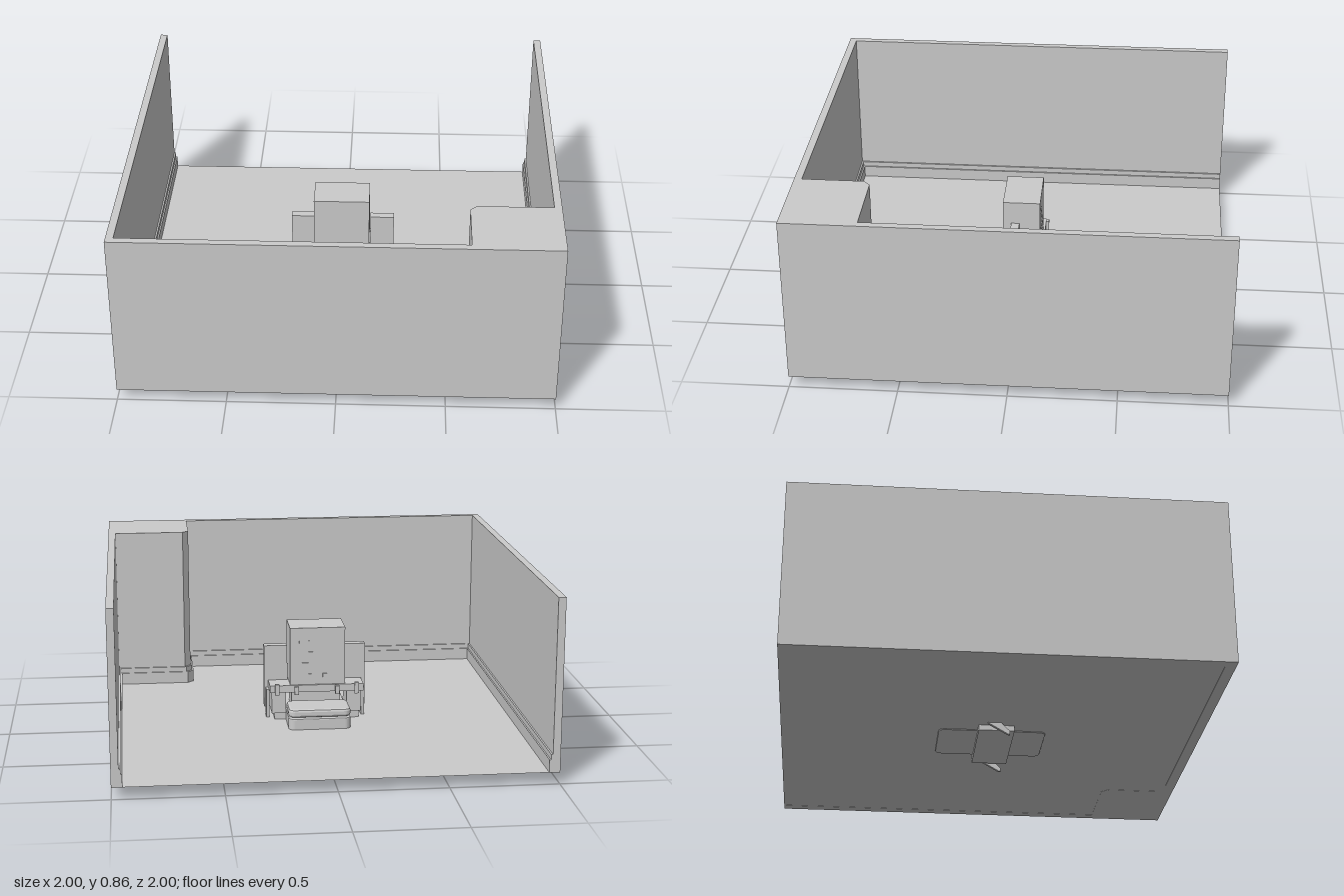
import * as THREE from 'three';

const FLOOR = 0.055;
const WALL_TOP = 0.86;

export function createModel() {
  const root = new THREE.Group();
  const mat = new THREE.MeshStandardMaterial({ color: 0xcccccc, flatShading: true });
  const thin = new THREE.MeshStandardMaterial({ color: 0xcccccc, side: THREE.DoubleSide });

  const add = (name, geo, parent = root, m = mat) => {
    const mesh = new THREE.Mesh(geo, m);
    mesh.name = name;
    parent.add(mesh);
    return mesh;
  };
  // Box given by its limits on each axis
  const box = (name, x0, x1, y0, y1, z0, z1, parent = root) => {
    const mesh = add(name, new THREE.BoxGeometry(x1 - x0, y1 - y0, z1 - z0), parent);
    mesh.position.set((x0 + x1) / 2, (y0 + y1) / 2, (z0 + z1) / 2);
    return mesh;
  };
  // Upright prism over an (x, z) outline
  const prism = (shape, y0, y1, bevel = 0) => {
    const geo = new THREE.ExtrudeGeometry(shape, {
      depth: y1 - y0 - bevel * 2, bevelEnabled: bevel > 0, bevelSize: bevel,
      bevelThickness: bevel, bevelOffset: -bevel, bevelSegments: 2, curveSegments: 5,
    });
    geo.rotateX(Math.PI / 2);
    geo.translate(0, y1 - bevel, 0);
    return geo;
  };
  const roundRect = (x0, x1, z0, z1, r) => {
    const s = new THREE.Shape();
    s.absarc(x1 - r, z1 - r, r, 0, Math.PI / 2);
    s.absarc(x0 + r, z1 - r, r, Math.PI / 2, Math.PI);
    s.absarc(x0 + r, z0 + r, r, Math.PI, Math.PI * 1.5);
    s.absarc(x1 - r, z0 + r, r, Math.PI * 1.5, Math.PI * 2);
    return s;
  };

  // Room: floor, three walls with a chamfered corner column, stepped baseboard
  const floor = add('floor', new THREE.PlaneGeometry(2, 2).rotateX(-Math.PI / 2), root, thin);
  floor.position.y = FLOOR + 0.001;
  const wallOutline = (t) => new THREE.Shape([
    [-1, -1], [-1 + t, -1], [-1 + t, 1 - t], [0.625 - t, 1 - t], [0.625 - t, 0.715 - t],
    [0.655 - t, 0.685 - t], [1 - t, 0.685 - t], [1 - t, -1], [1, -1], [1, 1], [-1, 1],
  ].map(([x, z]) => new THREE.Vector2(x, z)));
  add('walls', prism(wallOutline(0.035), FLOOR, WALL_TOP));
  add('baseboard', prism(wallOutline(0.05), FLOOR, FLOOR + 0.06));
  add('baseboardCap', prism(wallOutline(0.043), FLOOR + 0.06, FLOOR + 0.085));

  // Machine in the middle of the floor
  const machine = new THREE.Group();
  machine.name = 'machine';
  root.add(machine);

  // Rounded foot pad with a raised cushion at the back
  add('footPad', prism(roundRect(-0.15, 0.15, -0.255, 0.255, 0.03), 0.05, 0.11, 0.005), machine);
  add('backCushion', prism(roundRect(-0.15, 0.15, -0.255, -0.08, 0.03), 0.115, 0.155, 0.012), machine);

  // Body: sunken tray, desk top, inner block and side cabinets
  box('sunkenTray', -0.21, 0.205, 0.03, 0.09, -0.07, 0.1, machine);
  box('deskTop', -0.23, 0.23, 0.2, 0.235, -0.1, 0.1, machine);
  box('bodyCore', -0.12, 0.12, 0.09, 0.2, -0.06, 0.09, machine);

  // Head box with small fittings on its back
  const head = new THREE.Group();
  head.name = 'head';
  machine.add(head);
  box('headBox', -0.14, 0.13, 0.235, 0.52, -0.09, 0.09, head);
  for (const [x, y, w, h] of [
    [0.06, 0.45, 0.05, 0.012], [0.03, 0.39, 0.022, 0.022], [0.06, 0.34, 0.04, 0.012],
    [0, 0.34, 0.03, 0.012], [0.03, 0.28, 0.02, 0.02], [-0.04, 0.28, 0.02, 0.02],
  ]) box('headFitting', x - w / 2, x + w / 2, y - h / 2, y + h / 2, -0.094, -0.089, head);

  // Mirrored side parts
  for (const s of [-1, 1]) {
    const side = (name, x0, x1, ...rest) =>
      box(name, Math.min(s * x0, s * x1), Math.max(s * x0, s * x1), ...rest, machine);
    side('sideCabinet', 0.15, 0.22, 0.09, 0.2, -0.08, 0.08);
    side('shoulderPanel', 0.135, 0.25, 0.235, 0.41, 0.01, 0.05);
    side('sidePost', 0.23, 0.25, 0.1, 0.36, 0.01, 0.05);
    side('deskStud', 0.185, 0.205, 0.19, 0.245, -0.115, -0.1);
    side('deskStud', 0.09, 0.11, 0.19, 0.23, -0.115, -0.1);

    // Slanting runner that dips below the floor
    const runner = new THREE.Shape([
      [0.065, 0], [0.075, 0], [0.075, 0.015], [0.03, 0.06], [0.06, 0.2], [-0.04, 0.2], [-0.03, 0.055],
    ].map(([z, y]) => new THREE.Vector2(z, y)));
    const geo = new THREE.ExtrudeGeometry(runner, { depth: 0.016, bevelEnabled: false });
    geo.rotateY(-Math.PI / 2);
    geo.translate(s * 0.235 + 0.008, 0, 0);
    add('runner', geo, machine);
  }

  // Two flaps sloping down at the front
  const flapUpper = add('upperFlap', new THREE.BoxGeometry(0.16, 0.012, 0.1), machine);
  flapUpper.position.set(0.005, 0.185, 0.135);
  flapUpper.rotation.x = 0.3;
  const flapLower = add('lowerFlap', new THREE.BoxGeometry(0.16, 0.012, 0.07), machine);
  flapLower.position.set(-0.01, 0.15, 0.22);
  flapLower.rotation.set(0.35, -0.15, 0);

  return root;
}
